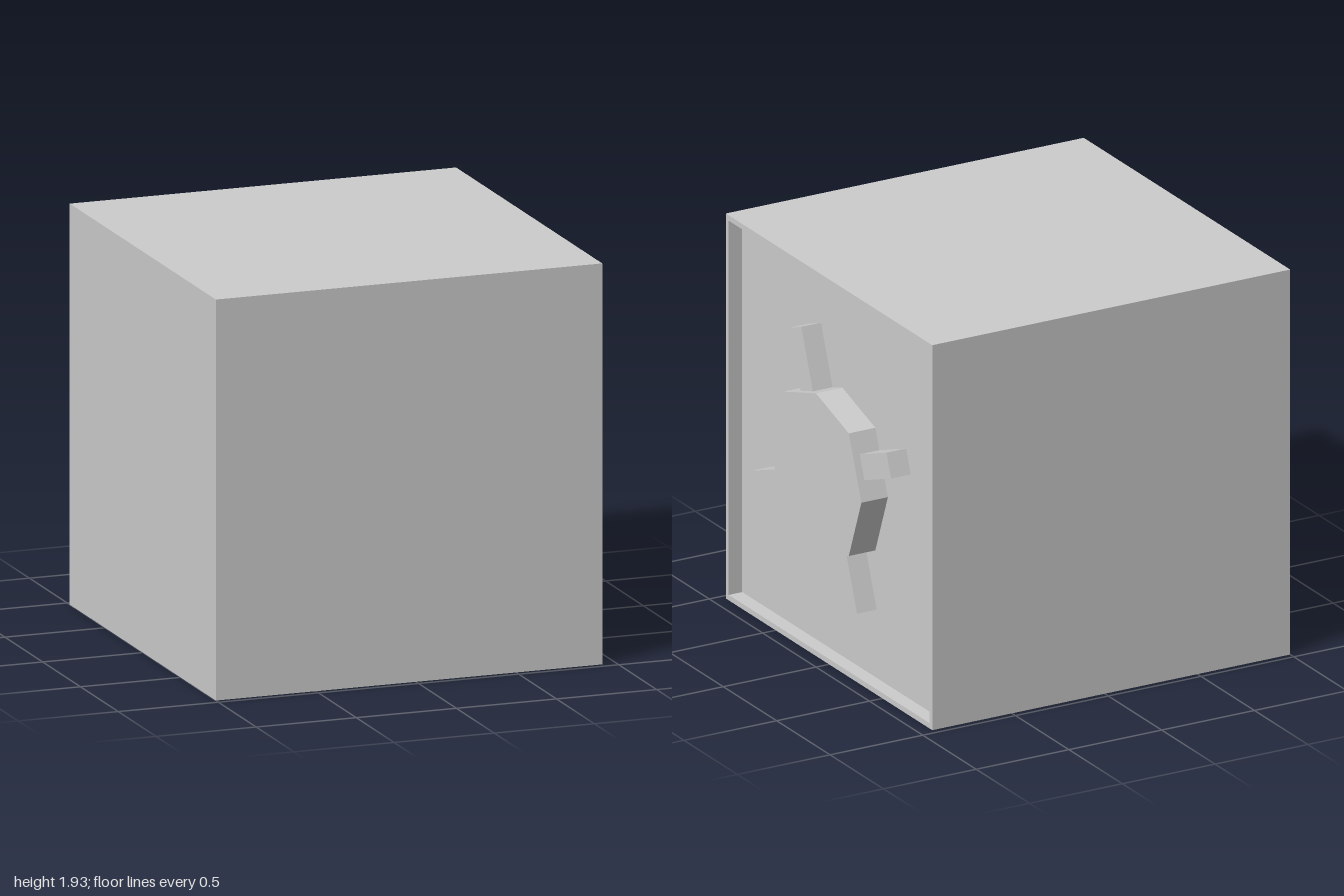
import * as THREE from 'three';

export function createModel() {
  const model = new THREE.Group();
  const material = new THREE.MeshStandardMaterial({ color: 0xcccccc, flatShading: true });
  const add = (name, geometry) => {
    const mesh = new THREE.Mesh(geometry, material);
    mesh.name = name;
    model.add(mesh);
    return mesh;
  };

  const half = 0.967;    // half the width and height of the case
  const rim = 0.027;     // wall thickness around the door
  const frontX = 0.93;   // face of the rim
  const doorX = 0.857;   // recessed door surface

  // Case with recessed door: a four-sided lathe turned to lie along x
  const profile = [
    [0, -1], [half, -1], [half, frontX],
    [half - rim, frontX], [half - rim, doorX], [0, doorX],
  ].map(([r, x]) => new THREE.Vector2(r * Math.SQRT2, x));
  const caseGeometry = new THREE.LatheGeometry(profile, 4)
    .rotateY(Math.PI / 4)
    .rotateZ(-Math.PI / 2)
    .toNonIndexed();
  caseGeometry.computeVertexNormals();
  add('safeCase', caseGeometry).position.y = half;

  // Eight-sided handle hub
  const corners = [
    [0.425, 0], [0.307, 0.308], [0, 0.404], [-0.307, 0.308],
    [-0.425, 0], [-0.307, -0.308], [0, -0.404], [0.307, -0.308],
  ].map(([z, y]) => new THREE.Vector2(z, y));
  const hub = new THREE.ExtrudeGeometry(new THREE.Shape(corners), {
    depth: 1 - doorX, bevelEnabled: false,
  }).rotateY(Math.PI / 2);
  add('handleHub', hub).position.set(doorX, 0.971, 0);

  // Four handle spokes, placed by the middle of their outer ends
  const tilt = THREE.MathUtils.degToRad(20.6);
  const length = 0.42, width = 0.123, depth = 0.963 - doorX;
  const ends = [[0.259, 1.611], [0.648, 0.692], [-0.262, 0.348], [-0.617, 1.216]];
  ends.forEach(([z, y], i) => {
    const angle = tilt + i * Math.PI / 2;
    const spoke = add('handleSpoke', new THREE.BoxGeometry(depth, length, width));
    spoke.rotation.x = angle;
    spoke.position.set(
      doorX + depth / 2,
      y - Math.cos(angle) * length / 2,
      z - Math.sin(angle) * length / 2,
    );
  });

  return model;
}
